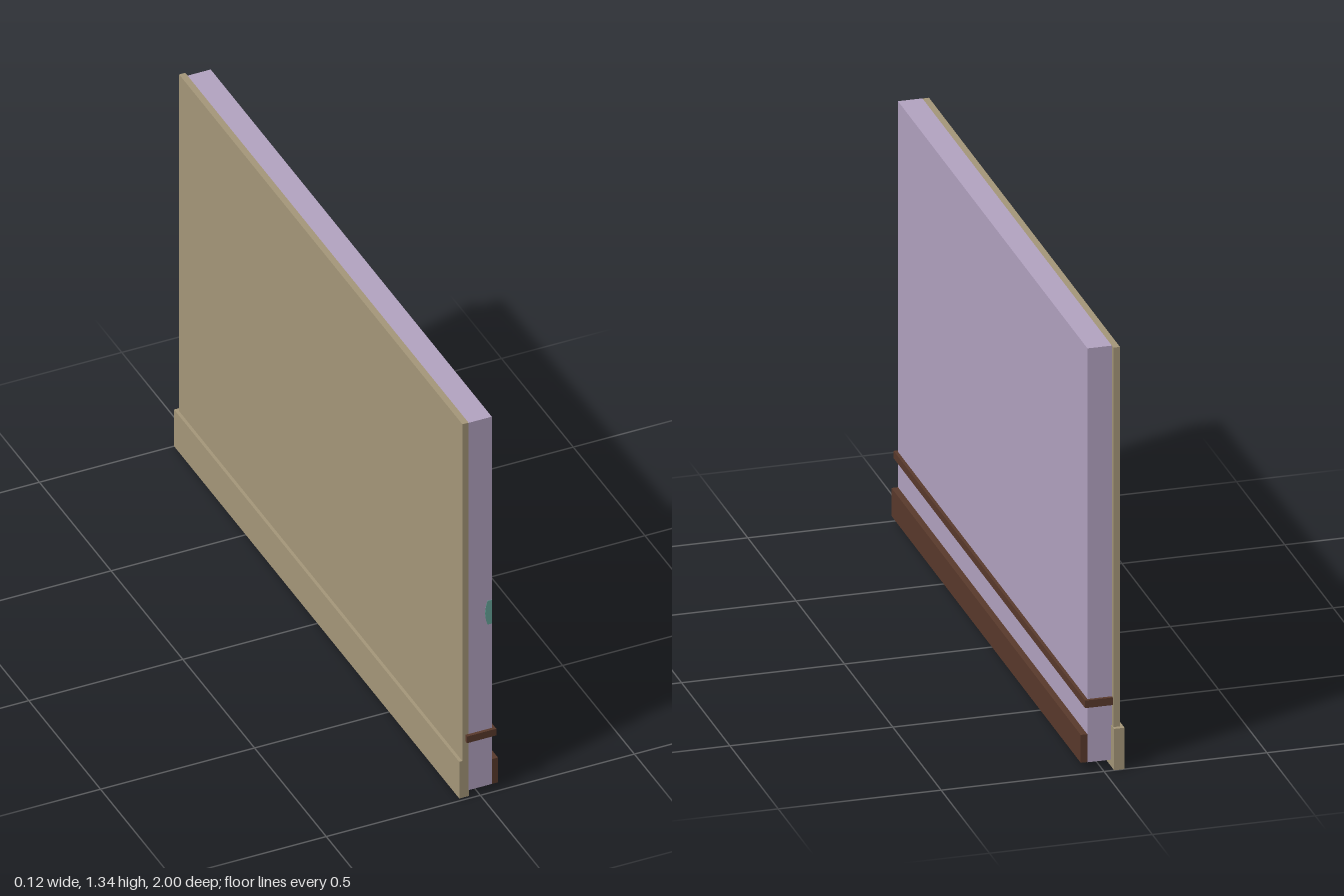
import * as THREE from 'three';

export function createModel() {
  const model = new THREE.Group();
  model.name = 'wallPanel';

  const material = (name, color) => {
    const m = new THREE.MeshStandardMaterial({ color });
    m.name = name;
    return m;
  };
  const lilac = material('lilacPaint', 0xb4a4c2);
  const tan = material('tanSiding', 0xa6987a);
  const brown = material('brownWood', 0x5a3a2c);
  const teal = material('tealPaint', 0x66a59a);

  // Box given by its lower and upper limits
  const box = (name, mat, [x0, y0, z0], [x1, y1, z1]) => {
    const mesh = new THREE.Mesh(new THREE.BoxGeometry(x1 - x0, y1 - y0, z1 - z0), mat);
    mesh.position.set((x0 + x1) / 2, (y0 + y1) / 2, (z0 + z1) / 2);
    mesh.name = name;
    model.add(mesh);
  };

  // Wall core and outer cladding
  box('wallCore', lilac, [-0.033, 0.022, -0.97], [0.042, 1.343, 0.99]);
  box('outerCladding', tan, [-0.053, 0.01, -0.986], [-0.033, 1.343, 0.989]);
  box('outerPlinth', tan, [-0.063, 0, -1], [-0.031, 0.132, 0.989]);

  // Inner skirting and rail
  box('skirtingBoard', brown, [0.042, 0.022, -0.968], [0.062, 0.111, 0.99]);
  box('chairRail', brown, [-0.043, 0.2, -0.98], [0.052, 0.224, 1]);

  // Small painted mark on the front end, rounded towards the middle
  const outline = new THREE.Shape();
  outline.moveTo(0.042, 0.6);
  outline.lineTo(0.042, 0.685);
  outline.lineTo(0.028, 0.685);
  outline.quadraticCurveTo(0.012, 0.643, 0.028, 0.6);
  const mark = new THREE.Mesh(
    new THREE.ExtrudeGeometry(outline, { depth: 0.002, bevelEnabled: false, curveSegments: 6 }),
    teal
  );
  mark.position.z = 0.989;
  mark.name = 'endMark';
  model.add(mark);

  return model;
}
